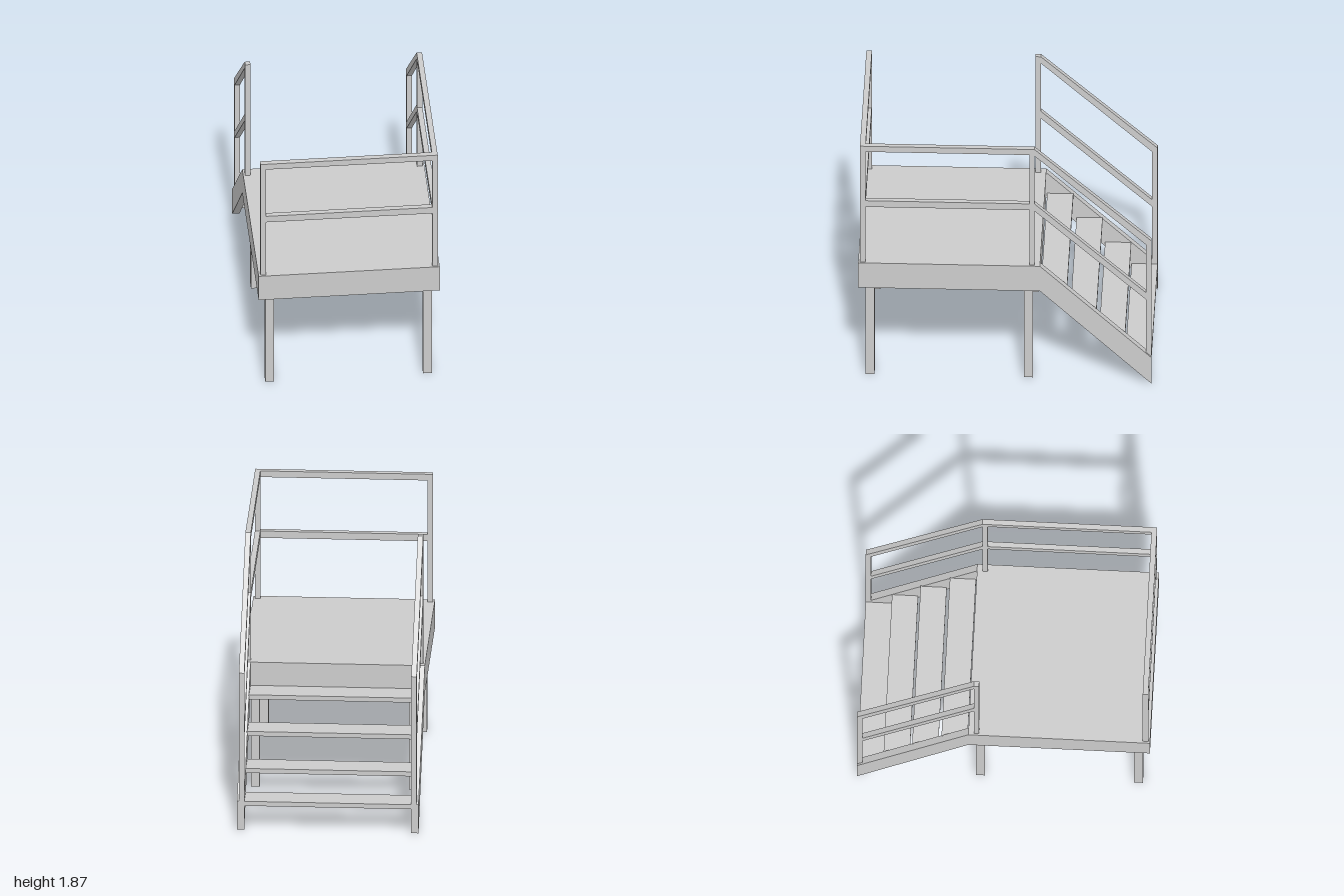
import * as THREE from 'three';

const material = new THREE.MeshStandardMaterial({ color: 0xcccccc, flatShading: true });

export function createModel() {
  const model = new THREE.Group();
  model.name = 'platformWithStairs';

  const add = (name, geometry, parent = model) => {
    const mesh = new THREE.Mesh(geometry, material);
    mesh.name = name;
    parent.add(mesh);
  };

  // Box given by its minimum and maximum on each axis
  const block = (name, [x0, x1], [y0, y1], [z0, z1], parent) => {
    const g = new THREE.BoxGeometry(x1 - x0, y1 - y0, z1 - z0);
    g.translate((x0 + x1) / 2, (y0 + y1) / 2, (z0 + z1) / 2);
    add(name, g, parent);
  };

  // Side outline in [z, y] points, extruded across x
  const sidePlate = (name, points, [x0, x1], parent) => {
    const shape = new THREE.Shape(points.map(([z, y]) => new THREE.Vector2(-z, y)));
    const g = new THREE.ExtrudeGeometry(shape, { depth: x1 - x0, bevelEnabled: false });
    g.rotateY(Math.PI / 2).translate(x0, 0, 0);
    add(name, g, parent);
  };

  const mirror = ([a, b], side) => (side > 0 ? [a, b] : [-b, -a]);
  const topRail = [1.82, 1.865], midRail = [1.375, 1.425];
  const railX = [0.57, 0.607];

  // Platform and its four legs
  block('platform', [-0.62, 0.62], [0.73, 0.93], [-0.24, 1]);
  for (const side of [-1, 1])
    for (const z of [[0.89, 0.95], [-0.19, -0.13]])
      block('leg', mirror([0.51, 0.57], side), [0, 0.73], z);

  // Stairs: two stringers and four treads
  const stairs = new THREE.Group();
  stairs.name = 'stairs';
  model.add(stairs);
  for (const side of [-1, 1])
    sidePlate('stringer', [[-0.24, 0.93], [-0.24, 0.73], [-1, 0], [-1, 0.21]],
      mirror([0.57, 0.62], side), stairs);
  const treads = [[0.175, -1], [0.345, -0.82], [0.54, -0.625], [0.73, -0.425]];
  for (const [y, z] of treads)
    block('tread', [-0.575, 0.575], [y, y + 0.033], [z, z + 0.178], stairs);

  // Sloping handrails on both sides of the stairs
  for (const side of [-1, 1]) {
    const rail = new THREE.Group();
    rail.name = side > 0 ? 'leftStairRailing' : 'rightStairRailing';
    model.add(rail);
    const x = mirror(railX, side);
    block('upperPost', x, [0.93, 1.82], [-0.203, -0.167], rail);
    sidePlate('lowerPost', [[-0.963, 0.24], [-1, 0.205], [-1, 1.1], [-0.963, 1.13]], x, rail);
    sidePlate('topHandrail',
      [[-0.167, 1.82], [-0.2, 1.815], [-1, 1.08], [-1, 1.145], [-0.203, 1.865], [-0.167, 1.865]], x, rail);
    sidePlate('middleHandrail',
      [[-0.167, 1.375], [-0.2, 1.37], [-0.98, 0.655], [-0.98, 0.71], [-0.203, 1.425], [-0.167, 1.425]], x, rail);
  }

  // Level guard railing along the left side and the front
  const guard = new THREE.Group();
  guard.name = 'guardRailing';
  model.add(guard);
  for (const side of [-1, 1])
    block('cornerPost', mirror(railX, side), [0.93, 1.82], [0.95, 0.988], guard);
  for (const y of [topRail, midRail]) {
    block('sideRail', railX, y, [-0.167, 0.95], guard);
    block('frontRail', [-0.607, 0.607], y, [0.95, 0.988], guard);
  }

  return model;
}
